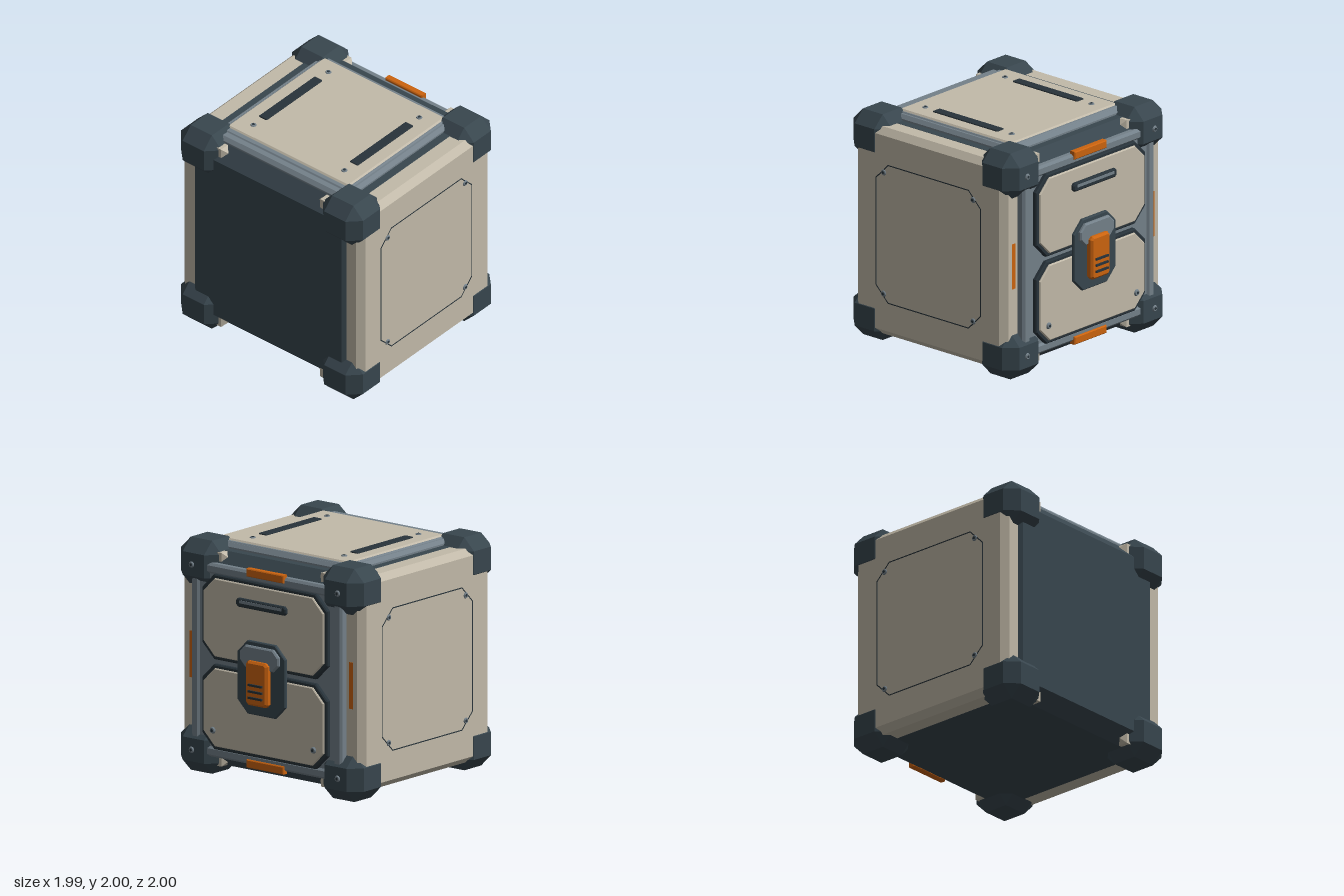
import * as THREE from 'three';
import { ConvexGeometry } from 'three/addons/geometries/ConvexGeometry.js';

const flat = (name, color) => {
  const m = new THREE.MeshStandardMaterial({ color });
  m.name = name;
  return m;
};

export function createModel() {
  const beige = flat('beige', 0xc2baa9);
  const slate = flat('slate', 0x38464e);
  const charcoal = flat('charcoal', 0x28333a);
  const steel = flat('steel', 0x74818a);
  const orange = flat('orange', 0xcc640f);

  const crate = new THREE.Group();
  crate.name = 'crate';

  const add = (parent, name, geo, mat, x = 0, y = 0, z = 0) => {
    const m = new THREE.Mesh(geo, mat);
    m.name = name;
    m.position.set(x, y, z);
    parent.add(m);
    return m;
  };

  // Rectangle with cut corners, as a point list
  const octagon = (w, h, c) => {
    const a = w / 2, b = h / 2;
    const pts = c > 0
      ? [[a - c, -b], [a, -b + c], [a, b - c], [a - c, b], [-a + c, b], [-a, b - c], [-a, -b + c], [-a + c, -b]]
      : [[a, -b], [a, b], [-a, b], [-a, -b]];
    return pts.map(p => new THREE.Vector2(...p));
  };

  // Bevelled plate lying on local z = 0 and rising to z = d
  const extrude = (shape, d, b) => {
    const g = new THREE.ExtrudeGeometry(shape, {
      depth: d - 2 * b, bevelEnabled: b > 0, bevelThickness: b, bevelSize: b, bevelOffset: -b, bevelSegments: 1,
    });
    return g.translate(0, 0, b);
  };
  const plate = (w, h, c, d, b = 0) => extrude(new THREE.Shape(octagon(w, h, c)), d, b);
  const ring = (w, h, c, t, d, b = 0) => {
    const s = new THREE.Shape(octagon(w, h, c));
    s.holes.push(new THREE.Path(octagon(w - 2 * t, h - 2 * t, Math.max(c - t * 0.6, 0)).reverse()));
    return extrude(s, d, b);
  };

  // Group whose local +z points out of one face of the crate
  const face = (name, rx, ry) => {
    const g = new THREE.Group();
    g.name = name;
    g.rotation.set(rx, ry, 0);
    g.position.y = 1;
    crate.add(g);
    return g;
  };

  // Washer with a dark hexagonal socket
  const washer = new THREE.CylinderGeometry(0.022, 0.03, 0.014, 12).rotateX(Math.PI / 2);
  const socket = new THREE.CylinderGeometry(0.013, 0.013, 0.006, 6).rotateX(Math.PI / 2);
  const bolt = (parent, x, y, z) => {
    const g = new THREE.Group();
    g.name = 'bolt';
    g.position.set(x, y, z);
    add(g, 'boltWasher', washer, steel, 0, 0, 0.005);
    add(g, 'boltSocket', socket, charcoal, 0, 0, 0.012);
    parent.add(g);
  };

  // Dark shell wrapping front, top, bottom and back
  const profile = new THREE.Shape([
    [0.82, 0.08], [0.94, 0.2], [0.94, 1.8], [0.82, 1.92],
    [-0.7, 1.92], [-0.79, 1.83], [-0.79, 0.17], [-0.7, 0.08],
  ].map(p => new THREE.Vector2(...p)));
  const shell = extrude(profile, 1.66, 0.035);
  shell.translate(0, 0, -0.83).rotateY(-Math.PI / 2);
  add(crate, 'shell', shell, slate);

  // Side walls with inspection panel outlines and bolts
  for (const s of [1, -1]) {
    const side = face(s > 0 ? 'leftSide' : 'rightSide', 0, s * Math.PI / 2);
    const lx = z => -s * z;
    add(side, 'sideWall', plate(1.69, 1.835, 0, 0.5, 0.055), beige, lx(0.065), 0, 0.485);
    add(side, 'panelOutline', ring(1.187, 1.23, 0.14, 0.009, 0.006), charcoal, lx(0.068), 0, 0.981);
    for (const z of [0.57, -0.435])
      for (const y of [0.538, -0.538]) bolt(side, lx(z), y, 0.982);
  }

  // Lid: steel tray, beige panel, grip strips and bolts
  const lid = face('lid', -Math.PI / 2, 0);
  add(lid, 'lidTray', plate(1.45, 1.45, 0, 0.12, 0.03), steel, 0, -0.095, 0.845);
  add(lid, 'lidStep', plate(1.36, 1.34, 0, 0.06, 0.012), steel, 0, -0.07, 0.915);
  add(lid, 'lidPanel', plate(1.32, 1.26, 0, 0.06, 0.013), beige, 0, -0.06, 0.928);
  for (const x of [-0.495, 0.495]) {
    add(lid, 'gripStrip', plate(0.086, 0.725, 0.006, 0.03, 0.004), charcoal, x, -0.0625, 0.968);
    for (const z of [-0.425, 0.545]) bolt(lid, x, -z, 0.984);
  }

  // Corner bumpers: chamfered blocks
  const pts = [];
  const half = [0.22, 0.205, 0.215], cut = 0.105;
  for (const sx of [1, -1]) for (const sy of [1, -1]) for (const sz of [1, -1])
    for (let k = 0; k < 3; k++) {
      const v = half.map((h, i) => (i === k ? h : h - cut));
      pts.push(new THREE.Vector3(sx * v[0], sy * v[1], sz * v[2]));
    }
  const bumper = new ConvexGeometry(pts);
  for (const x of [0.77, -0.77]) for (const y of [0.205, 1.795]) for (const z of [0.782, -0.653])
    add(crate, 'cornerBumper', bumper, slate, x, y, z);

  // Back: steel frame
  const back = face('back', 0, Math.PI);
  add(back, 'backFloor', plate(1.58, 1.62, 0.1, 0.2), steel, 0, 0, 0.632);
  add(back, 'backFrame', ring(1.63, 1.66, 0.12, 0.09, 0.1, 0.02), steel, 0, 0, 0.75);

  // Two beige door panels on dark backings
  for (const y of [0.385, -0.387]) {
    add(back, 'panelBacking', plate(1.36, 0.73, 0.13, 0.05, 0.01), charcoal, 0, y, 0.82);
    add(back, 'doorPanel', plate(1.3, 0.67, 0.12, 0.04, 0.008), beige, 0, y, 0.846);
  }
  for (const x of [-0.545, 0.545]) bolt(back, x, -0.585, 0.888);

  // Pull bar
  add(back, 'pullBar', plate(0.54, 0.075, 0.02, 0.04, 0.01), charcoal, 0, 0.565, 0.882);
  add(back, 'pullBarInlay', plate(0.46, 0.025, 0.005, 0.008), steel, 0, 0.575, 0.918);

  // Latch
  add(back, 'latchPlate', plate(0.52, 0.63, 0.11, 0.035, 0.008), slate, 0, -0.06, 0.88);
  add(back, 'latchHood', plate(0.42, 0.19, 0.06, 0.04, 0.012), steel, 0, 0.125, 0.907);
  add(back, 'latchLever', plate(0.235, 0.38, 0.025, 0.07, 0.018), orange, 0, -0.09, 0.915);
  for (const y of [-0.1, -0.155, -0.21])
    add(back, 'leverRib', new THREE.BoxGeometry(0.15, 0.018, 0.02), charcoal, 0, y, 0.99);

  // Orange tabs around the frame
  for (const y of [0.82, -0.82])
    add(back, 'frameTab', plate(0.4, 0.07, 0, 0.06, 0.008), orange, 0, y, 0.808);
  for (const x of [0.865, -0.865])
    add(back, 'sideTab', plate(0.04, 0.4, 0, 0.008), orange, x, 0, 0.775);

  // Bolts on the back bumpers
  for (const x of [0.79, -0.79])
    for (const y of [0.795, -0.795]) bolt(back, x, y, 0.867);

  return crate;
}
